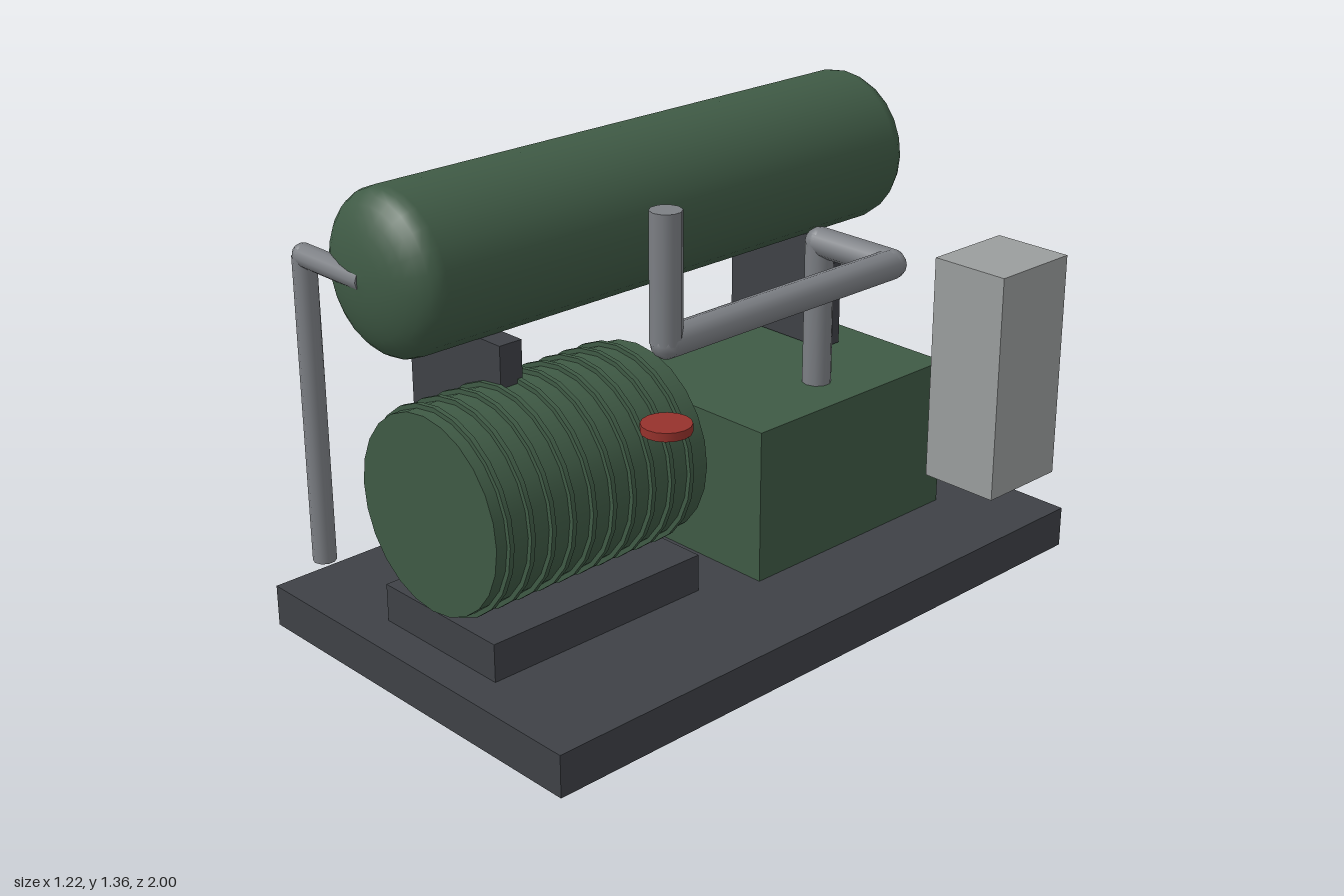
import * as THREE from 'three';

const mat = (color) => new THREE.MeshStandardMaterial({ color });
const green = mat(0x3f5a45), dark = mat(0x3e4146), pipeGrey = mat(0x7c7f84);
const cabinetGrey = mat(0x9a9d9d), red = mat(0x96322c), pale = mat(0xb9b7ab);
const screenBlue = mat(0x4d6379), amber = mat(0xd07818), lampGreen = mat(0x2fa84f);

export function createModel() {
  const root = new THREE.Group();

  const add = (name, geometry, material, x = 0, y = 0, z = 0, parent = root) => {
    const mesh = new THREE.Mesh(geometry, material);
    mesh.name = name;
    mesh.position.set(x, y, z);
    parent.add(mesh);
    return mesh;
  };
  // Box given by its limits on each axis
  const box = (name, material, [x0, x1], [y0, y1], [z0, z1], parent) =>
    add(name, new THREE.BoxGeometry(x1 - x0, y1 - y0, z1 - z0), material,
      (x0 + x1) / 2, (y0 + y1) / 2, (z0 + z1) / 2, parent);
  // Cylinder lying along z
  const drum = (name, material, r, x, y, z0, z1, sides, parent) =>
    add(name, new THREE.CylinderGeometry(r, r, z1 - z0, sides).rotateX(Math.PI / 2),
      material, x, y, (z0 + z1) / 2, parent);
  // Straight pipe runs with ball joints at the bends
  const pipe = (name, r, points) => {
    const group = new THREE.Group();
    group.name = name;
    root.add(group);
    const p = points.map((a) => new THREE.Vector3(...a));
    for (let i = 0; i + 1 < p.length; i++) {
      const dir = p[i + 1].clone().sub(p[i]);
      const mid = p[i].clone().add(p[i + 1]).multiplyScalar(0.5);
      const run = add('pipeRun', new THREE.CylinderGeometry(r, r, dir.length(), 10),
        pipeGrey, mid.x, mid.y, mid.z, group);
      run.quaternion.setFromUnitVectors(new THREE.Vector3(0, 1, 0), dir.normalize());
      if (i > 0) add('pipeElbow', new THREE.SphereGeometry(r, 10, 8), pipeGrey, p[i].x, p[i].y, p[i].z, group);
    }
  };

  // Skid and compressor housing
  box('baseSkid', dark, [-0.61, 0.61], [0, 0.123], [-1, 1]);
  box('compressorHousing', green, [-0.31, 0.31], [0.123, 0.58], [-0.77, 0]);

  // Finned motor on its plinth, with the drive coupling
  box('motorPlinth', dark, [-0.23, 0.23], [0.123, 0.234], [0.162, 0.893]);
  const motor = new THREE.Group();
  motor.name = 'motor';
  root.add(motor);
  drum('motorBody', green, 0.279, 0, 0.528, 0.178, 0.912, 24, motor);
  for (let i = 0; i < 10; i++) {
    const z = 0.246 + i * 0.0695;
    drum('coolingFin', green, 0.292, 0, 0.528, z - 0.007, z + 0.007, 24, motor);
  }
  drum('driveCoupling', pipeGrey, 0.073, 0, 0.528, 0.022, 0.178, 16);

  // Receiver tank with flattened domed ends, on two saddles
  const profile = [];
  const r = 0.23, straight = 0.84, dome = 0.115, steps = 8;
  for (let i = 0; i <= steps; i++) {
    const a = (i / steps) * Math.PI / 2;
    profile.push(new THREE.Vector2(r * Math.sin(a), -straight - dome * Math.cos(a)));
  }
  for (let i = steps; i >= 0; i--) profile.push(new THREE.Vector2(profile[i].x, -profile[i].y));
  add('receiverTank', new THREE.LatheGeometry(profile, 24).rotateX(Math.PI / 2), green, -0.196, 1.126, 0);
  for (const z of [-0.616, 0.62])
    box('tankSaddle', dark, [-0.387, -0.002], [0.583, 0.927], [z - 0.037, z + 0.037]);

  // Pipework
  pipe('outletPipe', 0.043, [[0.157, 0.54, -0.385], [0.157, 1.007, -0.385],
    [0.424, 1.007, -0.385], [0.424, 1.007, 0.465], [0.424, 1.355, 0.465]]);
  pipe('drainPipe', 0.033, [[-0.196, 1.126, 0.928], [-0.466, 1.126, 0.928], [-0.466, 0.235, 0.928]]);
  add('valveHandwheel', new THREE.CylinderGeometry(0.068, 0.068, 0.024, 16), red, 0.424, 0.776, 0.465);

  // Control cabinet, with its panel facing the back
  const cabinet = new THREE.Group();
  cabinet.name = 'controlCabinet';
  root.add(cabinet);
  box('cabinetBody', cabinetGrey, [0.325, 0.575], [0.236, 0.926], [-0.988, -0.697], cabinet);
  box('displayScreen', screenBlue, [0.36, 0.53], [0.635, 0.735], [-0.994, -0.98], cabinet);
  [amber, lampGreen, lampGreen].forEach((m, i) => {
    const x = 0.5 - i * 0.06;
    box('indicatorLamp', m, [x - 0.016, x + 0.016], [0.828, 0.846], [-0.995, -0.98], cabinet);
  });
  drum('pressureGauge', pale, 0.037, 0.307, 0.775, -1, -0.985, 16, cabinet);

  return root;
}
